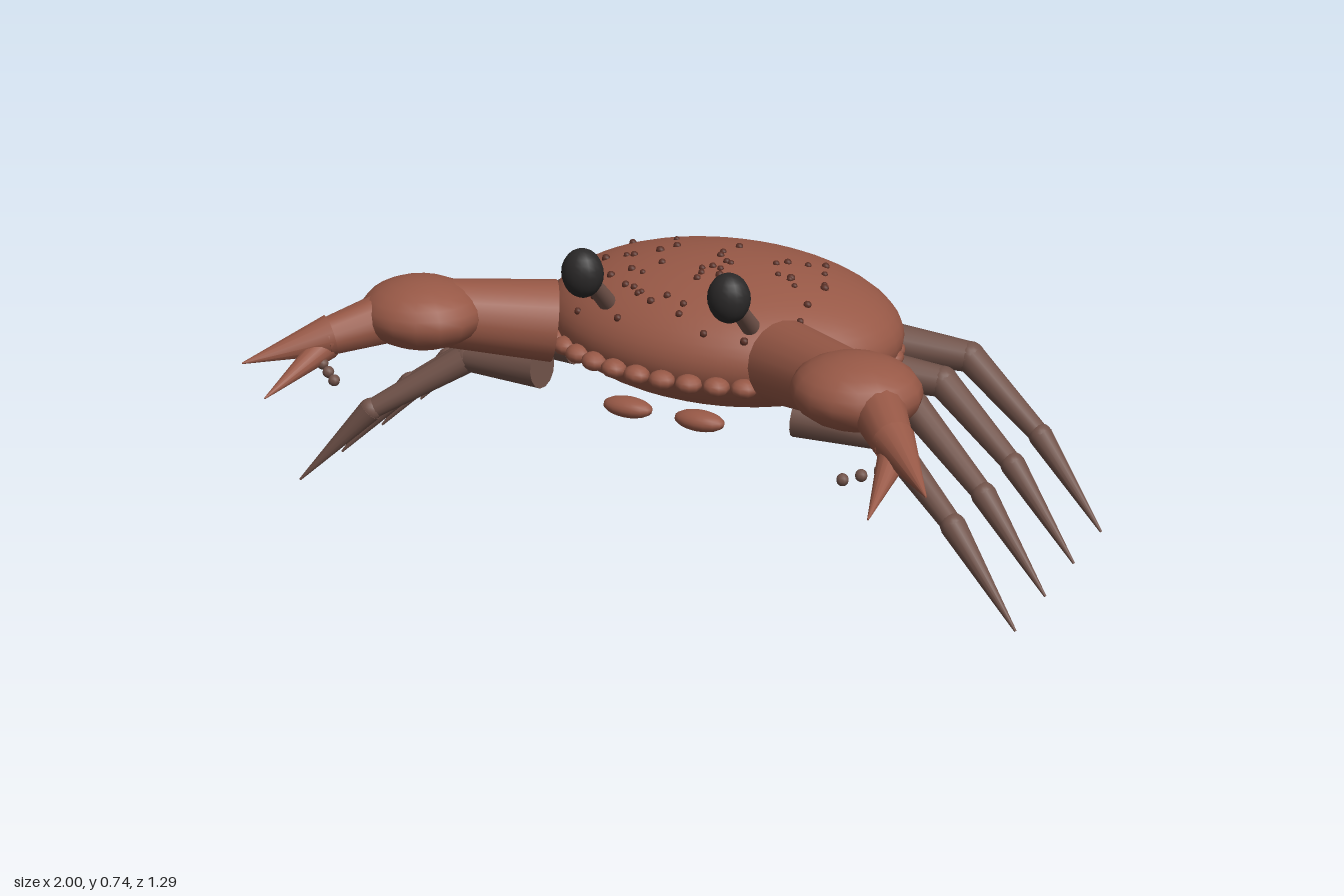
import * as THREE from 'three';

const mat = (name, color) => Object.assign(new THREE.MeshStandardMaterial({ color }), { name });
const UP = new THREE.Vector3(0, 1, 0);

export function createModel() {
  const crab = new THREE.Group();
  crab.name = 'crab';
  const shellMat = mat('shellBrown', 0x975846);
  const legMat = mat('legGreyBrown', 0x705249);
  const speckMat = mat('speckBrown', 0x5a3026);
  const eyeMat = mat('eyeBlack', 0x2a2828);

  const ball = (name, material, pos, radii, parent = crab, w = 16, h = 12) => {
    const mesh = new THREE.Mesh(new THREE.SphereGeometry(1, w, h), material);
    mesh.name = name;
    mesh.position.set(...pos);
    mesh.scale.set(...radii);
    parent.add(mesh);
    return mesh;
  };

  // Tapered round limb running from point a (radius ra) to point b (radius rb)
  const limb = (name, material, a, b, ra, rb, parent = crab, sides = 14) => {
    const start = new THREE.Vector3(...a);
    const dir = new THREE.Vector3(...b).sub(start);
    const mesh = new THREE.Mesh(new THREE.CylinderGeometry(rb, ra, dir.length(), sides), material);
    mesh.name = name;
    mesh.position.copy(start).addScaledVector(dir, 0.5);
    mesh.quaternion.setFromUnitVectors(UP, dir.normalize());
    parent.add(mesh);
    return mesh;
  };

  // Shell
  const C = [0, 0.45, -0.292], R = [0.48, 0.186, 0.353];
  ball('shell', shellMat, C, R, crab, 40, 28);

  // Beads around the shell rim
  const beads = new THREE.Group();
  beads.name = 'rimBeads';
  crab.add(beads);
  const count = 40;
  for (let i = 0; i < count; i++) {
    const a = (i / count) * Math.PI * 2;
    const bead = ball('rimBead', shellMat, [0.46 * Math.sin(a), 0.415, -0.27 + 0.34 * Math.cos(a)],
      [0.035, 0.024, 0.032], beads, 10, 8);
    bead.rotation.y = a;
  }

  // Dark specks scattered over the upper shell
  const specks = new THREE.Group();
  specks.name = 'shellSpecks';
  crab.add(specks);
  let seed = 11;
  const rand = () => (seed = (seed * 16807) % 2147483647) / 2147483647;
  for (let i = 0; i < 56; i++) {
    const x = (rand() - 0.5) * 0.64, z = -0.39 + rand() * 0.41;
    const h = 1 - (x / R[0]) ** 2 - ((z - C[2]) / R[2]) ** 2;
    if (h < 0.06) continue;
    const r = 0.008 + rand() * 0.004;
    ball('speck', speckMat, [x, C[1] + R[1] * Math.sqrt(h), z], [r, r, r], specks, 8, 6);
  }

  for (const s of [1, -1]) {
    const side = s > 0 ? 'left' : 'right';

    // Eyes on slanted stalks
    limb(side + 'EyeStalk', legMat, [s * 0.2, 0.56, -0.02], [s * 0.2, 0.665, 0.09], 0.024, 0.02);
    ball(side + 'Eye', eyeMat, [s * 0.2, 0.677, 0.106], [0.054, 0.063, 0.049]);

    // Mouth plates under the front rim
    ball(side + 'MouthPlate', shellMat, [s * 0.1, 0.32, 0.06], [0.068, 0.026, 0.035]);

    // Walking legs
    for (let i = 0; i < 4; i++) {
      const leg = new THREE.Group();
      leg.name = side + 'Leg' + (i + 1);
      crab.add(leg);
      const root = [s * 0.355, 0.375, -0.515 + 0.185 * i];
      const knee = [s * 0.58, 0.358, -0.55 + 0.19 * i];
      const ankle = [s * 0.81, 0.212, -0.468 + 0.203 * i];
      const tip = [s * 1.0, 0, -0.42 + 0.207 * i];
      limb('upperLeg', legMat, root, knee, 0.055, 0.04, leg);
      ball('knee', legMat, knee, [0.041, 0.041, 0.041], leg);
      limb('lowerLeg', legMat, knee, ankle, 0.04, 0.026, leg);
      ball('ankle', legMat, ankle, [0.031, 0.031, 0.031], leg);
      limb('footSpike', legMat, ankle, tip, 0.032, 0.003, leg);
    }

    // Claw: arm, palm, wrist, two fingers and small teeth
    const claw = new THREE.Group();
    claw.name = side + 'Claw';
    crab.add(claw);
    limb('clawArm', shellMat, [s * 0.32, 0.508, 0.04], [s * 0.56, 0.545, 0.2], 0.105, 0.085, claw, 20);
    ball('clawPalm', shellMat, [s * 0.59, 0.552, 0.23], [0.16, 0.088, 0.145], claw, 16, 12);
    limb('clawWrist', shellMat, [s * 0.65, 0.545, 0.26], [s * 0.765, 0.515, 0.415], 0.07, 0.047, claw);
    limb('outerFinger', shellMat, [s * 0.755, 0.52, 0.4], [s * 0.905, 0.478, 0.57], 0.052, 0.002, claw);
    limb('innerFinger', shellMat, [s * 0.762, 0.495, 0.41], [s * 0.796, 0.43, 0.64], 0.038, 0.002, claw);
    for (let i = 0; i < 3; i++) {
      ball('clawTooth', legMat, [s * (0.678 + 0.034 * i), 0.452 + 0.006 * i, 0.51 - 0.028 * i],
        [0.015, 0.015, 0.015], claw, 8, 6);
    }
  }
  return crab;
}
